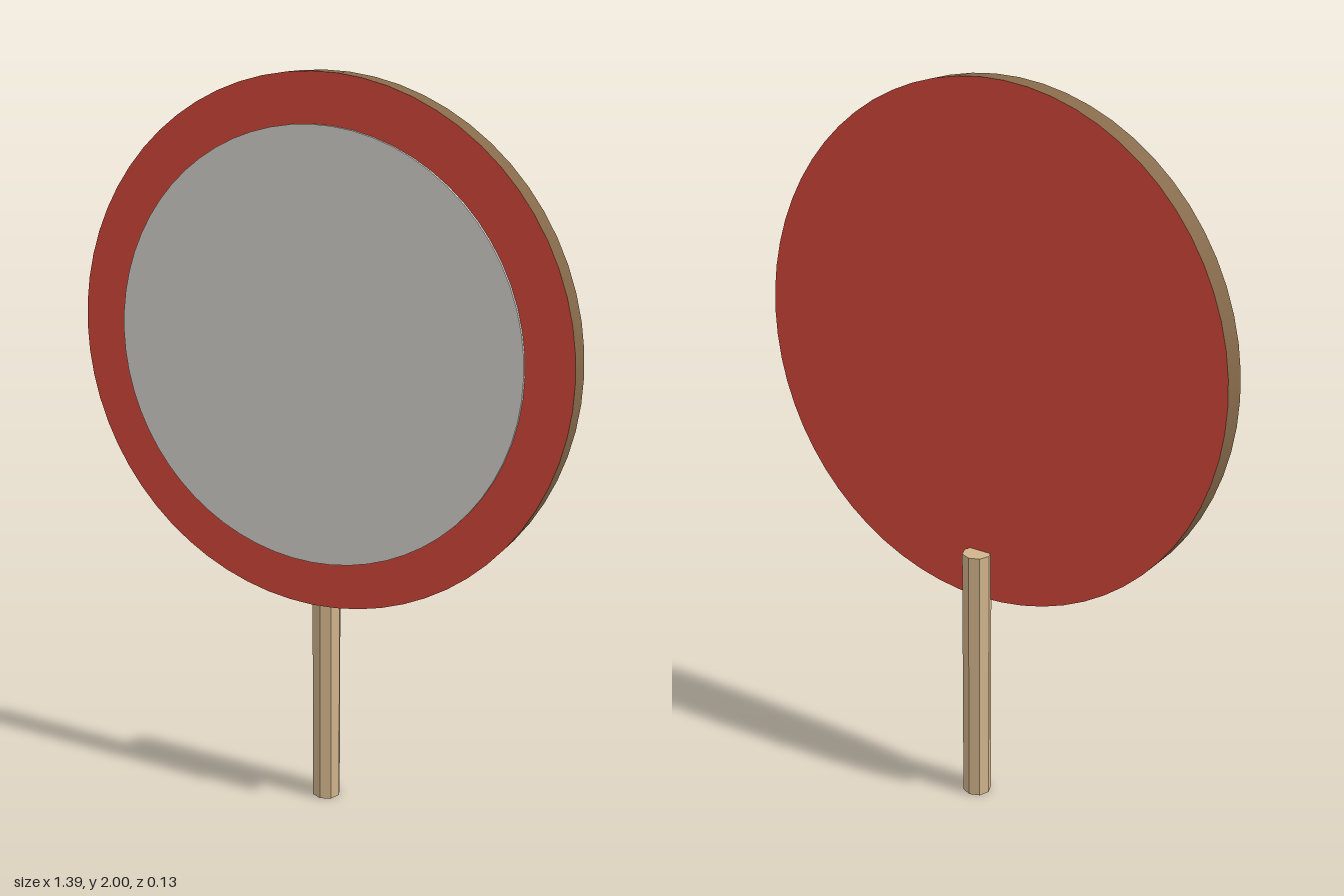
import * as THREE from 'three';

function material(name, color, extra = {}) {
  const m = new THREE.MeshStandardMaterial({ color, ...extra });
  m.name = name;
  return m;
}

export function createModel() {
  const red = material('red', 0xdc4b3e);
  const white = material('offWhite', 0xdddbd4);
  const brown = material('brown', 0x85694a);
  const tan = material('tan', 0xd2b48c, { flatShading: true });

  const group = new THREE.Group();
  const add = (name, geometry, mat, y, z) => {
    const mesh = new THREE.Mesh(geometry, mat);
    mesh.name = name;
    mesh.position.set(0, y, z);
    group.add(mesh);
  };

  // A round plate facing +z; cylinder groups are rim, front, back
  const plate = (radius, depth) =>
    new THREE.CylinderGeometry(radius, radius, depth, 64).rotateX(Math.PI / 2);

  const centreY = 1.305;

  // Sign board: red faces with a brown rim
  add('signBoard', plate(0.695, 0.066), [brown, red, red], centreY, 0.024);

  // Pale disc on the front
  add('frontPanel', plate(0.57, 0.008), white, centreY, 0.061);

  // Eight-sided handle fixed behind the board
  add('handle', new THREE.CylinderGeometry(0.04, 0.04, 0.75, 8), tan, 0.375, -0.025);

  return group;
}
